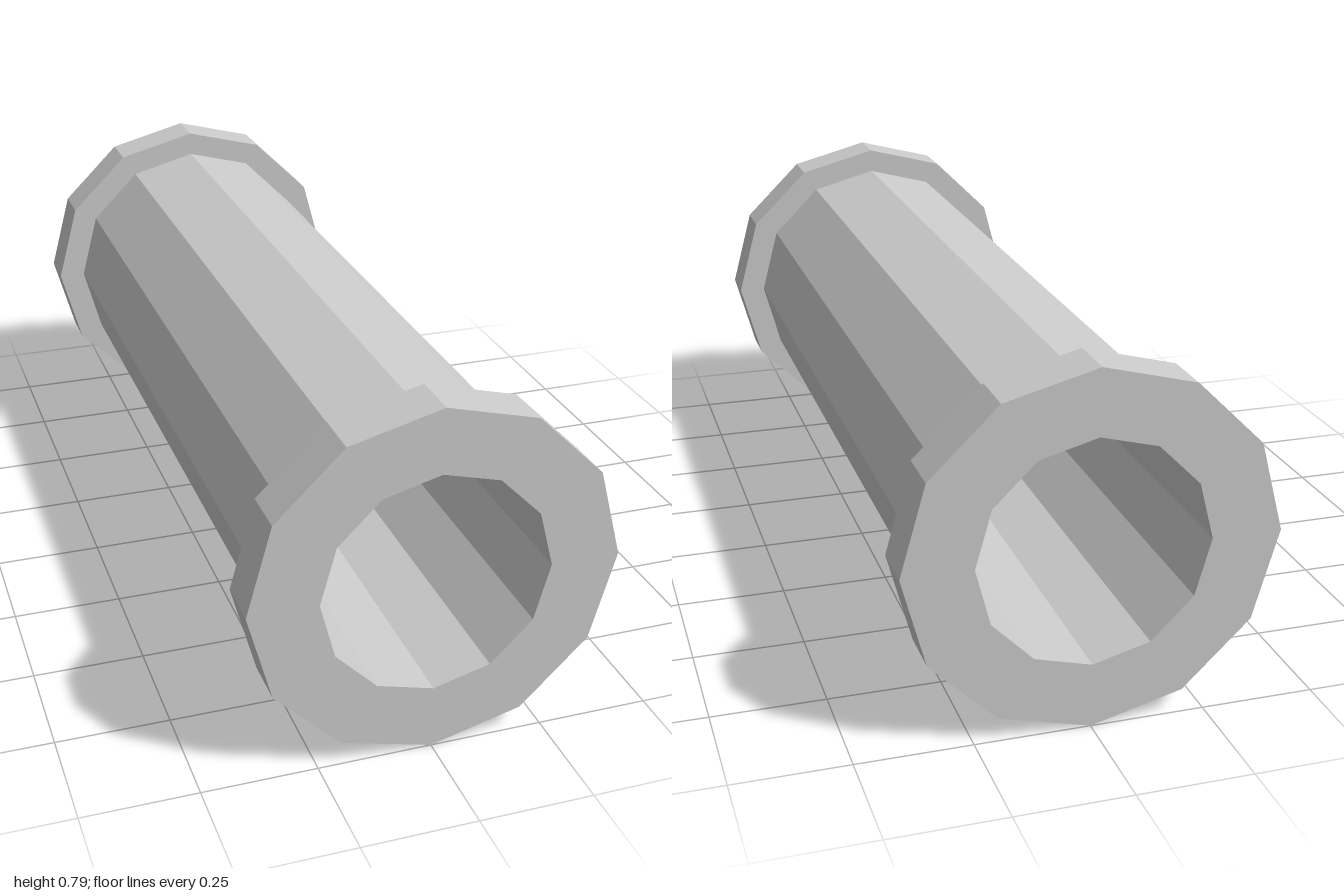
import * as THREE from 'three';

const SIDES = 12;
const AXIS_Y = 0.396;
const BORE = 0.25, WALL = 0.333, RIM = 0.401, RIM_HEIGHT = 0.394;
const END = 1, SHOULDER = 0.888;

const material = new THREE.MeshStandardMaterial({ color: 0xcccccc, flatShading: true });

// Revolves [radius, z] points around the z axis.
function turned(name, profile) {
  const points = profile.map(([r, z]) => new THREE.Vector2(r, z));
  const geometry = new THREE.LatheGeometry(points, SIDES).rotateX(Math.PI / 2);
  const mesh = new THREE.Mesh(geometry, material);
  mesh.name = name;
  mesh.position.y = AXIS_Y;
  return mesh;
}

// End collar: shoulder, rim and annular end face, with the rim slightly flattened.
function flange(name) {
  const mesh = turned(name, [[WALL, SHOULDER], [RIM, SHOULDER], [RIM, END], [BORE, END]]);
  const pos = mesh.geometry.attributes.position;
  for (let i = 0; i < pos.count; i++) {
    const onRim = Math.hypot(pos.getX(i), pos.getY(i)) > (WALL + RIM) / 2;
    if (onRim) pos.setY(i, pos.getY(i) * RIM_HEIGHT / RIM);
  }
  mesh.geometry.computeVertexNormals();
  return mesh;
}

export function createModel() {
  const group = new THREE.Group();
  group.name = 'flangedPipe';

  // Outer wall between the collars, and the bore running right through
  group.add(turned('pipeWall', [[WALL, -SHOULDER], [WALL, SHOULDER]]));
  group.add(turned('bore', [[BORE, END], [BORE, -END]]));

  // Matching collars at both ends
  const front = flange('frontFlange');
  const back = flange('backFlange');
  back.rotation.y = Math.PI;
  group.add(front, back);

  return group;
}
